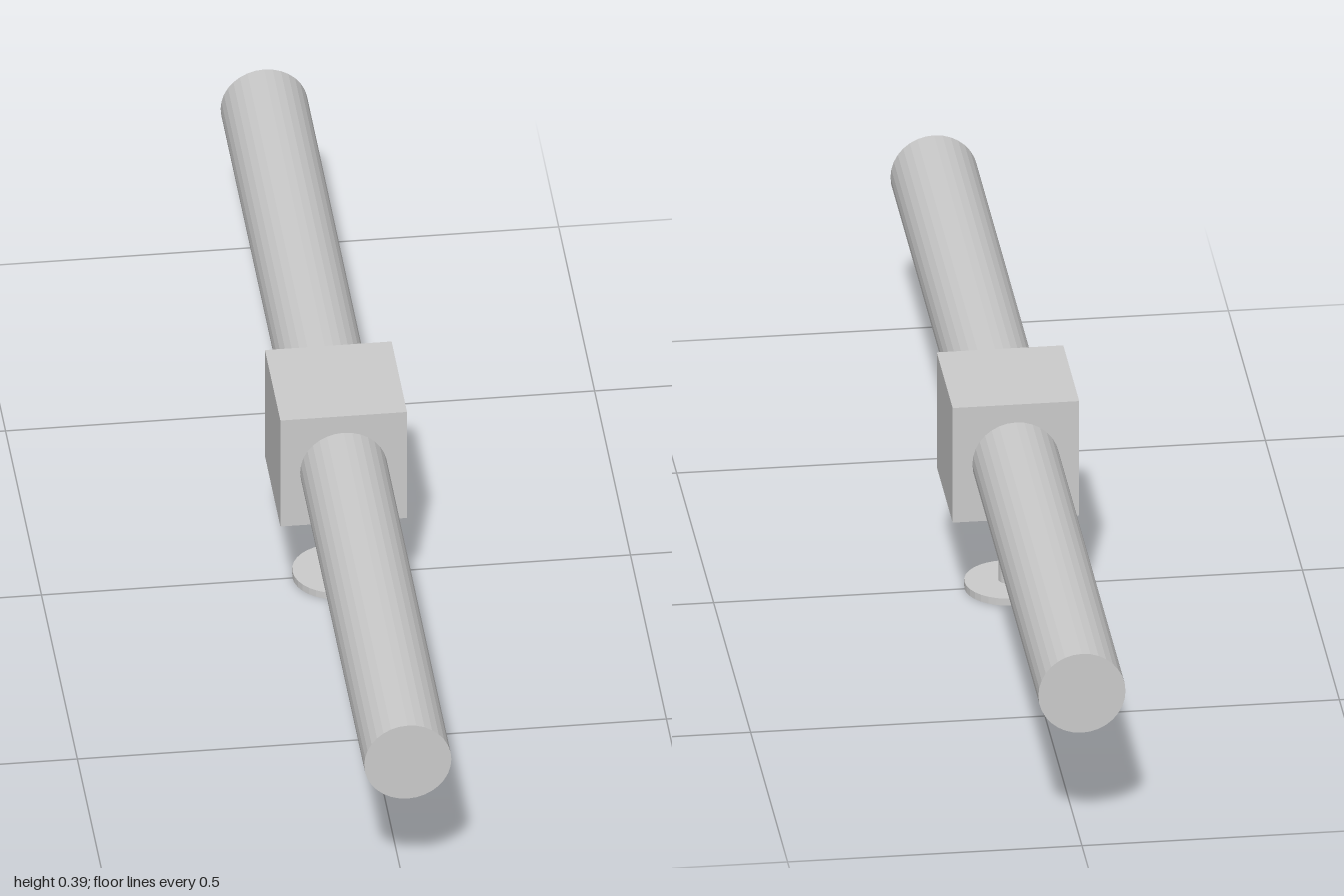
import * as THREE from 'three';

export function createModel() {
  const group = new THREE.Group();
  const axisY = 0.286; // height of the bar's axis

  const add = (name, geometry, side = THREE.FrontSide) => {
    const material = new THREE.MeshStandardMaterial({ color: 0xcccccc, flatShading: true, side });
    const mesh = new THREE.Mesh(geometry, material);
    mesh.name = name;
    group.add(mesh);
    return mesh;
  };

  // Square block gripping the bar
  add('block', new THREE.BoxGeometry(0.215, 0.215, 0.215)).position.y = axisY;

  // Two halves of the bar, running out of the block to the front and the back
  const reach = 0.9;
  for (const [name, dir] of [['frontBar', 1], ['backBar', -1]]) {
    const bar = add(name, new THREE.CylinderGeometry(0.074, 0.074, reach, 32).rotateX(Math.PI / 2));
    bar.position.set(0, axisY, dir * (1 - reach / 2));
  }

  // Hollow stem flaring into a foot plate that is open underneath
  const profile = [[0.074, 0], [0.074, 0.013], [0.016, 0.013], [0.016, 0.18]];
  add('stemAndFoot', new THREE.LatheGeometry(profile.map(([r, y]) => new THREE.Vector2(r, y)), 32), THREE.DoubleSide);

  return group;
}
